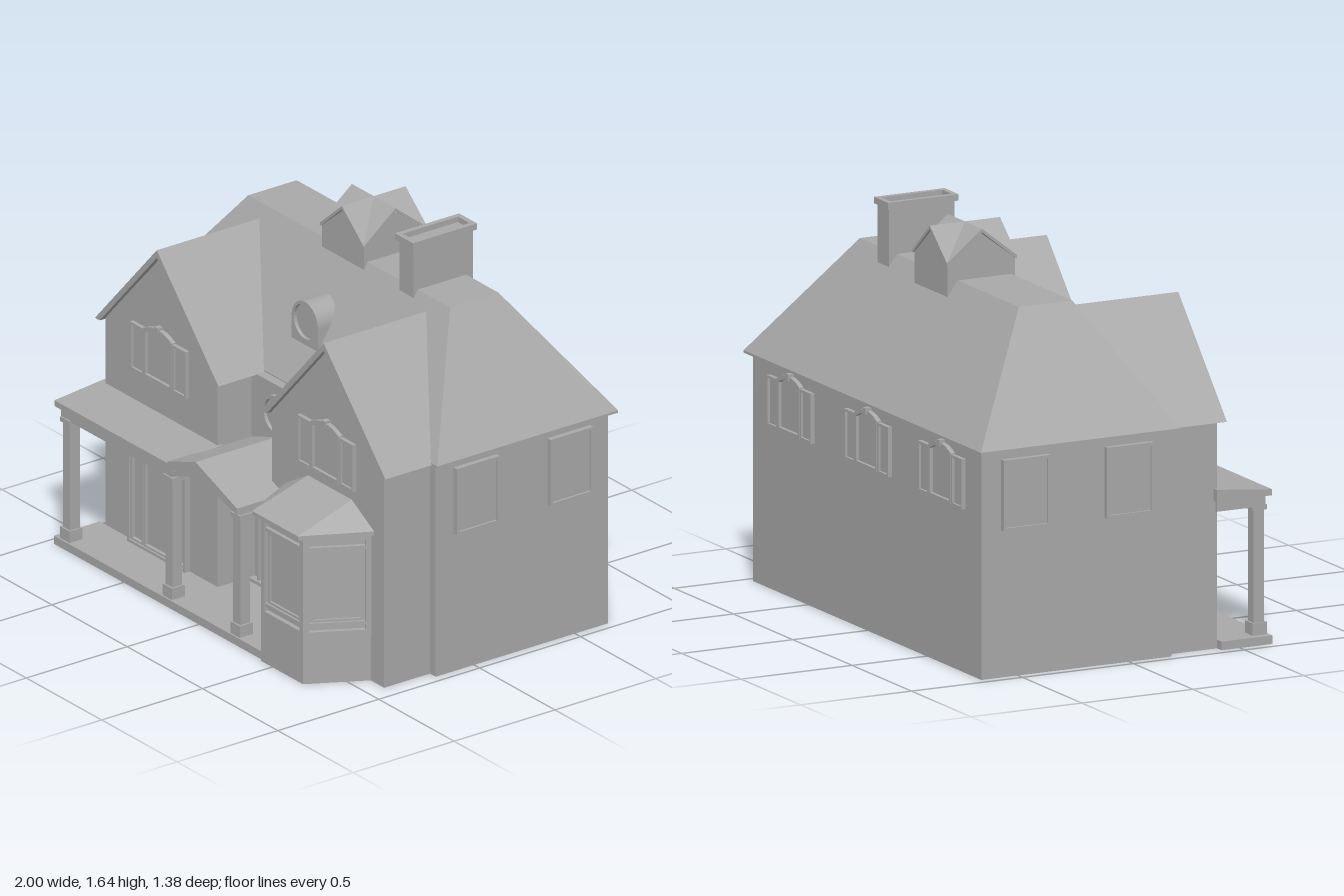
import * as THREE from 'three';
import { ConvexGeometry } from 'three/addons/geometries/ConvexGeometry.js';

const grey = new THREE.MeshStandardMaterial({ color: 0xa8a8a8 });
grey.name = 'plain grey';

function add(parent, name, geometry, x = 0, y = 0, z = 0) {
  const mesh = new THREE.Mesh(geometry, grey);
  mesh.name = name;
  mesh.position.set(x, y, z);
  parent.add(mesh);
  return mesh;
}

function group(parent, name, x = 0, y = 0, z = 0, turn = 0) {
  const g = new THREE.Group();
  g.name = name;
  g.position.set(x, y, z);
  g.rotation.y = turn;
  parent.add(g);
  return g;
}

// Box given by its limits on each axis
function block(parent, name, x0, x1, y0, y1, z0, z1) {
  return add(parent, name, new THREE.BoxGeometry(x1 - x0, y1 - y0, z1 - z0),
    (x0 + x1) / 2, (y0 + y1) / 2, (z0 + z1) / 2);
}

const hull = (points) => new ConvexGeometry(points.map((p) => new THREE.Vector3(...p)));
const vectors = (points) => points.map((p) => new THREE.Vector2(...p));
const polygon = (points) => new THREE.Shape(vectors(points));
const extrude = (shape, depth) =>
  new THREE.ExtrudeGeometry(shape, { depth, bevelEnabled: false, curveSegments: 16 });

// Plan given as [x, z] corners with an opening, raised to a height
function raisePlan(outer, inner, height) {
  const flip = (points) => points.map(([x, z]) => [x, -z]).reverse();
  const s = polygon(flip(outer));
  s.holes.push(new THREE.Path(vectors(flip(inner).reverse())));
  return extrude(s, height).rotateX(-Math.PI / 2);
}

// Pitched roof slab with level-cut eaves at y = 0, running along z
function chevron(half, rise, t, length) {
  const inner = half * (1 - t / rise);
  return extrude(polygon([[-half, 0], [-inner, 0], [0, rise - t], [inner, 0],
    [half, 0], [0, rise]]), length);
}

// Wall with a pointed top, standing on y = 0
const gableWall = (half, eave, peak, depth) => extrude(polygon([
  [-half, 0], [half, 0], [half, eave], [0, peak], [-half, eave]]), depth);

// Rectangle with an optional arched top, centred on x
function archShape(w, y0, y1, rise, Type = THREE.Shape) {
  const s = new Type();
  s.moveTo(-w / 2, y0);
  s.lineTo(w / 2, y0);
  s.lineTo(w / 2, y1);
  if (rise) s.quadraticCurveTo(0, y1 + 2 * rise, -w / 2, y1);
  else s.lineTo(-w / 2, y1);
  s.closePath();
  return s;
}

function frame(w, h, border, depth, rise = 0) {
  const s = archShape(w, 0, h, rise);
  s.holes.push(archShape(w - 2 * border, border, h - border, rise, THREE.Path));
  return extrude(s, depth);
}

const circle = (r) => new THREE.Path().absarc(0, 0, r, 0, Math.PI * 2, true);
const disc = (r, depth) =>
  new THREE.CylinderGeometry(r, r, depth, 32).rotateX(Math.PI / 2);

// Arched window with a narrow light on each side
function archedWindow(parent, x, y, z, turn) {
  const g = group(parent, 'archedWindow', x, y, z, turn);
  add(g, 'middleFrame', frame(0.19, 0.21, 0.014, 0.02, 0.026));
  add(g, 'middlePane', extrude(archShape(0.17, 0.01, 0.2, 0.026), 0.006));
  block(g, 'keystone', -0.012, 0.012, 0.222, 0.247, 0, 0.026);
  for (const s of [-1, 1]) {
    add(g, 'sideFrame', frame(0.09, 0.205, 0.01, 0.018), s * 0.14);
    block(g, 'sidePane', s * 0.14 - 0.037, s * 0.14 + 0.037, 0.008, 0.197, 0, 0.008);
  }
}

function sideWindow(parent, x, z, turn) {
  const g = group(parent, 'sideWindow', x, 0.6, z, turn);
  add(g, 'windowFrame', frame(0.212, 0.29, 0.012, 0.022));
  block(g, 'windowPane', -0.098, 0.098, 0.008, 0.282, 0, 0.012);
}

// Face of the bay: flush surround with mouldings set back inside it
function bayFace(parent, x, z, turn, w) {
  const g = group(parent, 'bayFace', x, 0.2, z, turn);
  add(g, 'surround', frame(w, 0.44, 0.024, 0.02), 0, 0, -0.02);
  const half = w / 2 - 0.024;
  block(g, 'upperMoulding', -half, half, 0.375, 0.39, -0.02, -0.004);
  block(g, 'lowerMoulding', -half, half, 0.045, 0.06, -0.02, -0.004);
  add(g, 'innerFrame', frame(2 * half - 0.02, 0.31, 0.01, 0.01), 0, 0.062, -0.02);
}

// House plan, drawn in by t on every side
const housePlan = (t) => [
  [-0.963 + t, -0.665 + t], [0.963 - t, -0.665 + t], [0.963 - t, 0.19 - t],
  [0.925 - t, 0.19 - t], [0.925 - t, 0.417 - t], [0.18 + t, 0.417 - t],
  [0.18 + t, 0.25 - t], [-0.18 - t, 0.25 - t], [-0.18 - t, 0.417 - t],
  [-0.925 + t, 0.417 - t], [-0.925 + t, 0.19 - t], [-0.963 + t, 0.19 - t]];

export function createModel() {
  const house = new THREE.Group();
  house.name = 'house';

  // Walls and floors
  add(house, 'mainWalls', raisePlan(housePlan(0), housePlan(0.015), 0.928));
  block(house, 'mainFloor', -0.955, 0.5, 0.02, 0.04, -0.655, 0.185);
  block(house, 'leftRoomFloor', -0.915, -0.19, 0.02, 0.04, 0.18, 0.41);
  block(house, 'hallFloor', -0.2, 0.5, 0.02, 0.04, 0.18, 0.24);
  block(house, 'middleWallTop', -0.19, 0.19, 0.915, 0.932, 0.15, 0.25);

  // Hipped main roof
  const hip = [];
  for (const s of [-1, 1]) {
    for (const z of [-0.687, 0.21]) hip.push([s, 0.927, z], [s, 0.937, z]);
    for (const z of [-0.34, -0.1]) hip.push([s * 0.67, 1.425, z]);
  }
  add(house, 'mainRoof', hull(hip));

  // Two front gables
  for (const s of [-1, 1]) {
    add(house, 'gableWall', gableWall(0.3725, 0.02, 0.42, 0.417), s * 0.5525, 0.92, 0);
    add(house, 'gableRoof', chevron(0.41, 0.445, 0.034, 0.51), s * 0.554, 0.93, -0.07);
    archedWindow(house, s * 0.555, 0.79, 0.417, 0);
    for (const z of [-0.005, -0.47]) sideWindow(house, s * 0.963, z, s * Math.PI / 2);
  }
  for (const x of [-0.645, -0.023, 0.63]) archedWindow(house, x, 0.67, -0.665, Math.PI);

  // Round window between the gables
  const rim = new THREE.Shape().absarc(0, 0, 0.086, 0, Math.PI * 2);
  rim.holes.push(circle(0.073));
  add(house, 'roundWindowFrame', extrude(rim, 0.022), 0, 0.807, 0.247);
  add(house, 'roundWindowPane', disc(0.075, 0.01), 0, 0.807, 0.25);

  // Round-topped dormer
  const dormer = new THREE.Shape();
  dormer.moveTo(-0.087, -0.1);
  dormer.lineTo(0.087, -0.1);
  dormer.absarc(0, 0, 0.087, 0, Math.PI);
  dormer.closePath();
  dormer.holes.push(circle(0.074));
  add(house, 'dormer', extrude(dormer, 0.16), 0, 1.178, -0.04);
  add(house, 'dormerWindow', disc(0.076, 0.1), 0, 1.178, 0.055);

  // Cupola with crossing gables meeting in valleys
  const cupola = group(house, 'cupola', -0.015, 1.5, -0.233);
  for (const [half, length, turn] of [[0.145, 0.316, 0], [0.158, 0.29, Math.PI / 2]]) {
    const arm = group(cupola, 'cupolaArm', 0, 0, 0, turn);
    add(arm, 'cupolaWall', gableWall(half - 0.006, 0.19, 0.305, length - 0.012),
      0, -0.2, 0.006 - length / 2);
    for (const sx of [-1, 1]) {
      for (const sz of [-1, 1]) {
        const slope = [[0, 0.125, 0], [0, 0.125, sz * length / 2],
          [sx * half, 0, sz * length / 2]];
        add(arm, 'cupolaRoof', hull([...slope, ...slope.map(([x, y, z]) => [x, y - 0.015, z])]));
      }
    }
  }

  // Chimney with an open cap
  block(house, 'chimneyStack', 0.36, 0.455, 1.3, 1.617, -0.375, -0.08);
  const capPlan = (t) => [[0.348 + t, -0.385 + t], [0.468 - t, -0.385 + t],
    [0.468 - t, -0.067 - t], [0.348 + t, -0.067 - t]];
  add(house, 'chimneyCap', raisePlan(capPlan(0), capPlan(0.022), 0.026), 0, 1.615, 0);

  // Porch floor, roof and beams
  block(house, 'porchFloor', -0.963, 0.42, 0, 0.035, 0.417, 0.645);
  block(house, 'doorStep', -0.18, 0.18, 0, 0.035, 0.25, 0.42);
  const slab = [];
  for (const x of [-0.955, -0.17]) {
    slab.push([x, 0.605, 0.4], [x, 0.605, 0.648], [x, 0.63, 0.648], [x, 0.655, 0.4]);
  }
  add(house, 'porchRoof', hull(slab));
  block(house, 'porchBeam', -0.935, -0.2, 0.56, 0.606, 0.585, 0.63);
  block(house, 'porchEndBeam', -0.935, -0.89, 0.56, 0.606, 0.41, 0.6);
  add(house, 'porchGable', extrude(polygon([
    [-0.2, 0.605], [-0.015, 0.665], [0.26, 0.572], [0.26, 0.602],
    [-0.015, 0.705], [-0.2, 0.64]]), 0.4), 0, 0, 0.25);
  add(house, 'porchGableTrim', extrude(polygon([
    [-0.2, 0.57], [-0.015, 0.635], [0.245, 0.55], [0.245, 0.58],
    [-0.015, 0.67], [-0.2, 0.61]]), 0.03), 0, 0, 0.6);

  // Porch columns
  for (const x of [-0.9, -0.22, 0.23]) {
    const column = group(house, 'porchColumn', x, 0, 0.605);
    block(column, 'columnShaft', -0.024, 0.024, 0.03, 0.59, -0.024, 0.024);
    block(column, 'columnBase', -0.032, 0.032, 0.03, 0.085, -0.032, 0.032);
    block(column, 'columnCapital', -0.032, 0.032, 0.545, 0.565, -0.032, 0.032);
  }

  // Front door in its arched surround
  const door = group(house, 'frontDoor', 0, 0.035, 0.25);
  add(door, 'doorSurround', frame(0.34, 0.455, 0.014, 0.03, 0.025));
  add(door, 'doorFrame', frame(0.275, 0.415, 0.012, 0.02), 0.02);
  block(door, 'doorLeaf', -0.11, 0.15, 0, 0.405, 0, 0.009);

  // Glazed garden doors on the porch
  const glazed = group(house, 'gardenDoors', -0.5575, 0.035, 0.417);
  add(glazed, 'outerFrame', frame(0.385, 0.455, 0.012, 0.024));
  block(glazed, 'header', -0.1925, 0.1925, 0.455, 0.505, 0, 0.014);
  for (const [x, w] of [[-0.138, 0.085], [0, 0.19], [0.138, 0.085]]) {
    add(glazed, 'leafFrame', frame(w, 0.435, 0.01, 0.016), x, 0.01, 0);
  }

  // Bay with a sloping roof
  const bay = group(house, 'bay');
  const prism = (name, t, y0, y1) => add(bay, name, hull([
    [0.293 + t, 0.41], [0.425 + t / 2, 0.655 - t], [0.705 - t / 2, 0.655 - t], [0.84 - t, 0.41],
  ].flatMap(([x, z]) => [[x, y0, z], [x, y1, z]])));
  prism('bayBase', 0, 0, 0.2);
  prism('bayCore', 0.02, 0.19, 0.64);
  const eaves = [[0.27, 0.41], [0.41, 0.688], [0.715, 0.688], [0.862, 0.41]];
  add(bay, 'bayRoof', hull([
    ...eaves.flatMap(([x, z]) => [[x, 0.64, z], [x, 0.658, z]]),
    [0.42, 0.745, 0.41], [0.71, 0.745, 0.41]]));
  bayFace(bay, 0.565, 0.655, 0, 0.28);
  bayFace(bay, 0.359, 0.536, -1.065, 0.272);
  bayFace(bay, 0.7725, 0.536, 1.055, 0.274);

  return house;
}
